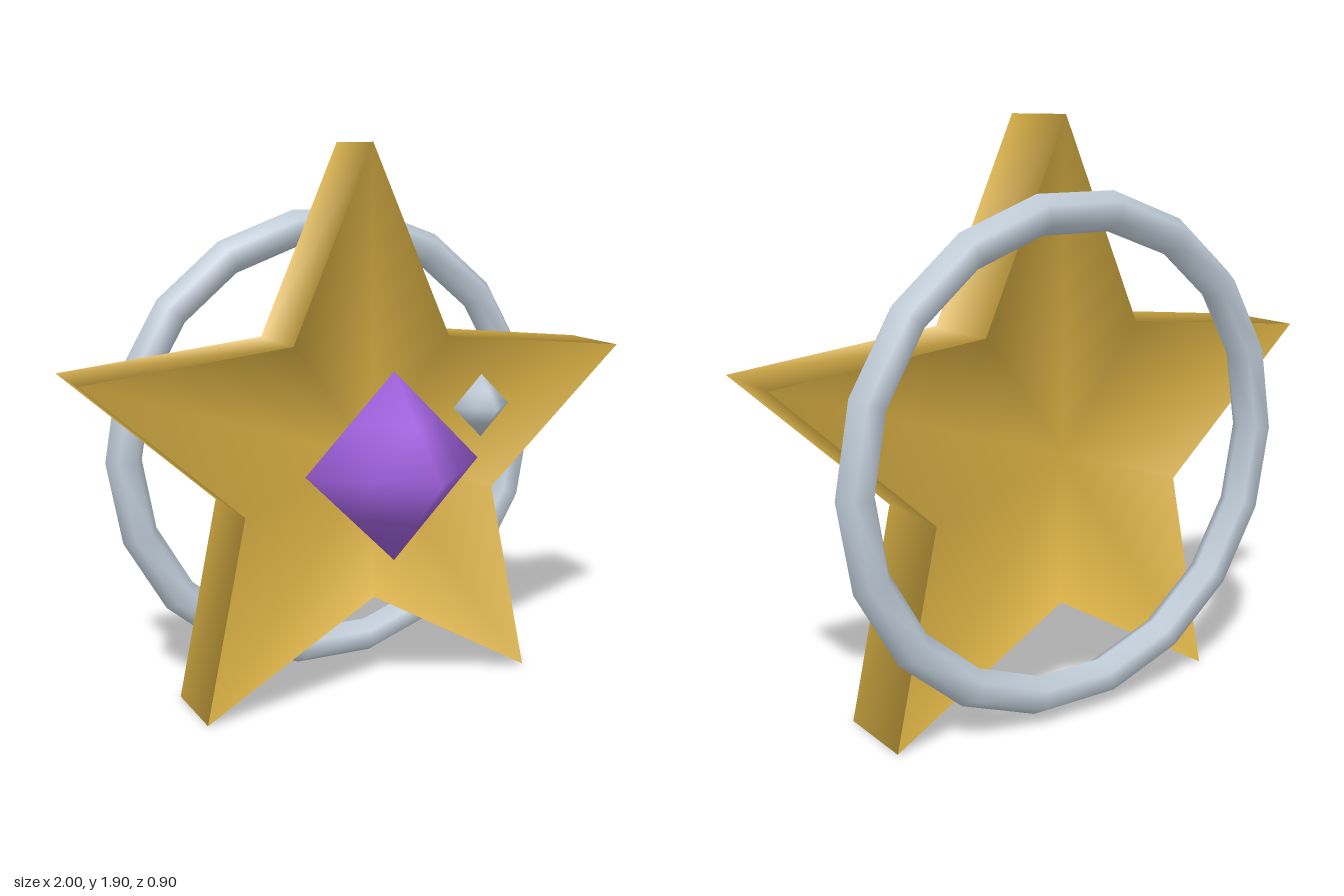
import * as THREE from 'three';
import { mergeVertices } from 'three/addons/utils/BufferGeometryUtils.js';

const CENTRE_Y = 0.852;
const gold = new THREE.MeshStandardMaterial({ color: 0xd9b044, side: THREE.DoubleSide });
gold.name = 'gold';
const silver = new THREE.MeshStandardMaterial({ color: 0xc0ccd8 });
silver.name = 'silver';
const purple = new THREE.MeshStandardMaterial({ color: 0x9f60dc });
purple.name = 'purple';

// Five-pointed slab: two fans around a centre point, joined by a rim.
// Cap normals lean to the middle and rim normals roll the other way, for soft shading.
function starGeometry(outer, inner, depth) {
  const positions = [], normals = [], index = [];
  const add = (r, angle, z, lean, sign) => {
    const x = Math.cos(angle), y = Math.sin(angle);
    const n = new THREE.Vector3(-x * lean, -y * lean, Math.sign(z)).normalize().multiplyScalar(sign);
    positions.push(x * r, y * r, z);
    normals.push(n.x, n.y, n.z);
    return positions.length / 3 - 1;
  };
  const ring = (z, sign) => Array.from({ length: 10 }, (_, i) =>
    add(i % 2 ? inner : outer, Math.PI / 2 + i * Math.PI / 5, z, i % 2 ? 0.87 : 0.4, sign));
  const h = depth / 2;
  const frontHub = add(0, 0, h, 0, 1), backHub = add(0, 0, -h, 0, 1);
  const front = ring(h, 1), back = ring(-h, 1);
  const rimFront = ring(h, -1), rimBack = ring(-h, -1);
  for (let i = 0; i < 10; i++) {
    const j = (i + 1) % 10;
    index.push(frontHub, front[i], front[j], backHub, back[j], back[i]);
    index.push(rimFront[i], rimBack[i], rimBack[j], rimFront[i], rimBack[j], rimFront[j]);
  }
  const g = new THREE.BufferGeometry();
  g.setAttribute('position', new THREE.Float32BufferAttribute(positions, 3));
  g.setAttribute('normal', new THREE.Float32BufferAttribute(normals, 3));
  g.setIndex(index);
  return g;
}

// Octahedral gem with subdivided flat sides and softened edges
function gemGeometry(radius) {
  let g = new THREE.OctahedronGeometry(1, 1);
  g.deleteAttribute('uv');
  g.deleteAttribute('normal');
  const p = g.attributes.position, v = new THREE.Vector3();
  for (let i = 0; i < p.count; i++) {
    v.fromBufferAttribute(p, i).multiplyScalar(radius / v.manhattanLength());
    p.setXYZ(i, v.x, v.y, v.z);
  }
  g = mergeVertices(g, 1e-4);
  g.computeVertexNormals();
  return g;
}

export function createModel() {
  const model = new THREE.Group();
  model.name = 'starOrnament';
  const part = (name, geometry, material, x, y, z) => {
    const mesh = new THREE.Mesh(geometry, material);
    mesh.name = name;
    mesh.position.set(x, y, z);
    model.add(mesh);
  };
  part('star', starGeometry(1.051, 0.494, 0.28), gold, 0, CENTRE_Y, -0.205);
  // Six-sided ring behind the star
  part('backRing', new THREE.TorusGeometry(0.773, 0.063, 6, 18), silver, 0, CENTRE_Y, -0.398);
  part('centreGem', gemGeometry(0.32), purple, 0, CENTRE_Y, 0.085);
  part('smallGem', gemGeometry(0.1), silver, 0.17, 1.09, 0.35);
  return model;
}
